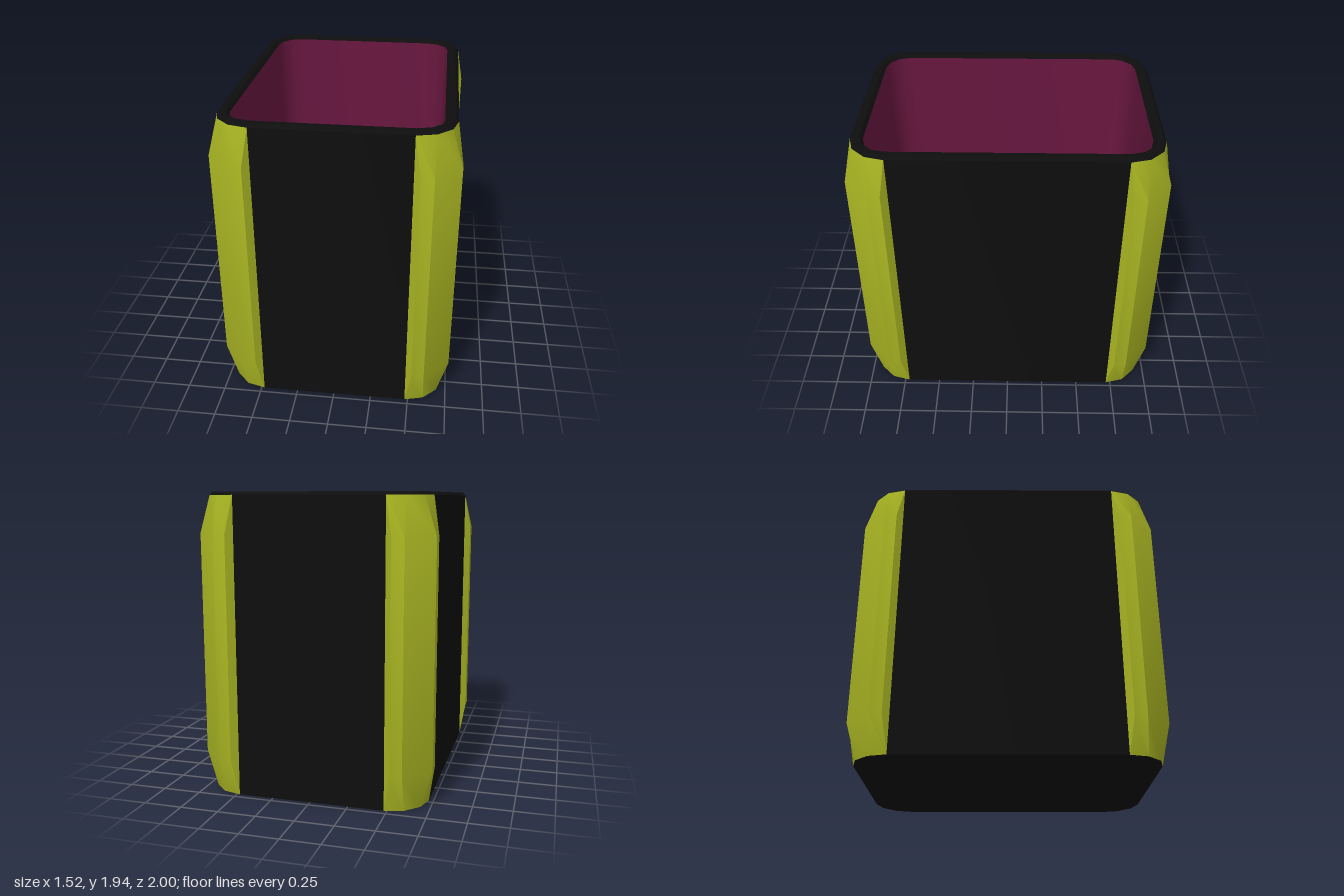
import * as THREE from 'three';
import { toCreasedNormals } from 'three/addons/utils/BufferGeometryUtils.js';

const HALF_X = 0.72, HALF_Z = 0.96, RADIUS = 0.24, STEPS = 3;

// Skin a stack of equal-length sections (arrays of [x, y, z]), each running from +x towards +z.
function loft(sections, closed) {
  const n = sections[0].length, index = [];
  for (let i = 0; i < sections.length - 1; i++) {
    for (let j = 0; j < (closed ? n : n - 1); j++) {
      const k = (j + 1) % n;
      const a = i * n + j, b = i * n + k, c = b + n, d = a + n;
      index.push(a, d, c, a, c, b);
    }
  }
  const geometry = new THREE.BufferGeometry();
  geometry.setAttribute('position', new THREE.Float32BufferAttribute(sections.flat(2), 3));
  geometry.setIndex(index);
  return toCreasedNormals(geometry, 0.6);
}

// Rounded rectangle at height y, pulled in from the outer wall by inset.
function ring(y, inset) {
  const points = [], r = RADIUS - inset;
  [[1, 1], [-1, 1], [-1, -1], [1, -1]].forEach(([sx, sz], q) => {
    for (let s = 0; s <= STEPS; s++) {
      const t = (q + s / STEPS) * Math.PI / 2;
      points.push([
        sx * (HALF_X - RADIUS) + r * Math.cos(t), y,
        sz * (HALF_Z - RADIUS) + r * Math.sin(t),
      ]);
    }
  });
  return points;
}

// All points gathered at the centre, to close a floor.
const centre = (y) => ring(y, 0).map(() => [0, y, 0]);

// One corner guard: a raised strip that tapers into the wall at both ends.
function guardGeometry(sx, sz) {
  const raised = [[0.72, 0.72], [0.76, 0.76], [0.76, 0.84], [0.6, 1], [0.52, 1], [0.48, 0.96]];
  const arc = ring(0, 0).slice(0, STEPS + 1).map(([x, , z]) => [x, z]);
  const flush = [0, 0, 1, 2, 3, 3].map((i) => arc[i]);
  const section = (outline, y) => {
    const points = outline.map(([x, z]) => [sx * x, y, sz * z]);
    return sx * sz < 0 ? points.reverse() : points;
  };
  return loft([section(flush, 0), section(raised, 0.24), section(raised, 1.68), section(flush, 1.92)], false);
}

export function createModel() {
  const model = new THREE.Group();
  const black = new THREE.MeshStandardMaterial({ color: 0x0e0e0e });
  const olive = new THREE.MeshStandardMaterial({ color: 0xa8b422, side: THREE.DoubleSide });
  const plum = new THREE.MeshStandardMaterial({ color: 0x68173f });

  const add = (name, geometry, material) => {
    const mesh = new THREE.Mesh(geometry, material);
    mesh.name = name;
    model.add(mesh);
  };

  // Outer shell with base and bevelled rim
  add('shell', loft([
    centre(0), ring(0, 0), ring(1.92, 0), ring(1.94, 0.02), ring(1.94, 0.06), ring(1.92, 0.08),
  ], true), black);

  // Inner walls and floor
  add('lining', loft([ring(1.92, 0.08), ring(0.08, 0.09), centre(0.08)], true), plum);

  // Four corner guards
  for (const sx of [1, -1]) {
    for (const sz of [1, -1]) {
      add(`${sz > 0 ? 'front' : 'back'}${sx > 0 ? 'Left' : 'Right'}Guard`, guardGeometry(sx, sz), olive);
    }
  }
  return model;
}
